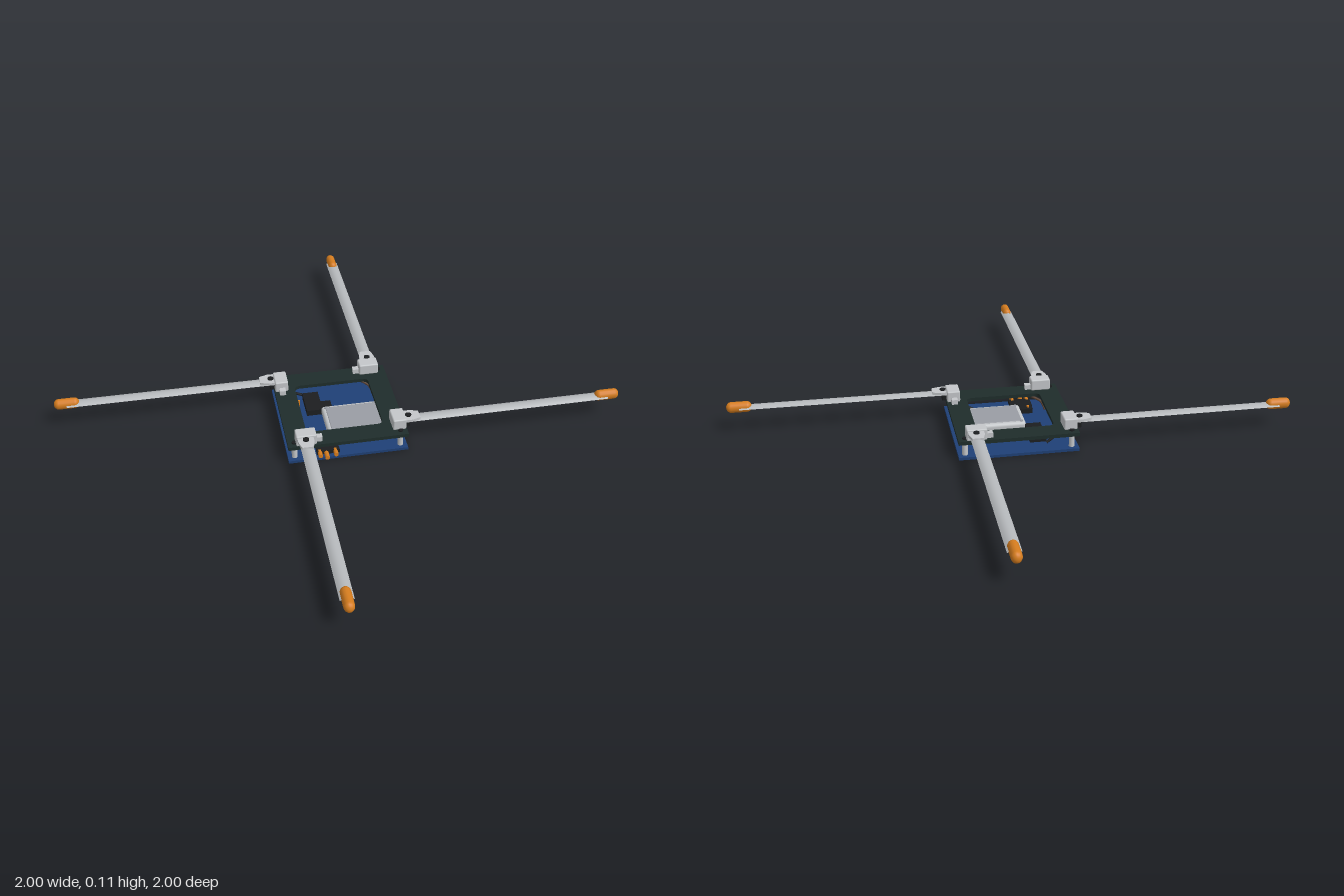
import * as THREE from 'three';
import { RoundedBoxGeometry } from 'three/addons/geometries/RoundedBoxGeometry.js';

const mat = (name, color, extra = {}) => Object.assign(new THREE.MeshStandardMaterial({ color, ...extra }), { name });

export function createModel() {
  const M = {
    board: mat('blue board', 0x1f4076),
    frame: mat('dark green frame', 0x1f2d2b),
    metal: mat('light metal', 0xc4c7ca),
    lid: mat('grey lid', 0x9a9da4),
    tape: mat('tape steel', 0xb4b7ba, { side: THREE.DoubleSide }),
    orange: mat('orange', 0xd67d1f),
    black: mat('black', 0x1c1e20),
    cable: mat('brown cable', 0x5a4030),
  };
  const root = new THREE.Group();
  root.name = 'antennaModule';

  const add = (parent, name, geo, material, x = 0, y = 0, z = 0) => {
    const m = new THREE.Mesh(geo, material);
    m.name = name;
    m.position.set(x, y, z);
    parent.add(m);
    return m;
  };
  // box given by its limits on each axis
  const box = (parent, name, material, [x0, x1], [y0, y1], [z0, z1]) =>
    add(parent, name, new THREE.BoxGeometry(x1 - x0, y1 - y0, z1 - z0), material,
      (x0 + x1) / 2, (y0 + y1) / 2, (z0 + z1) / 2);

  // lower board
  box(root, 'lowerBoard', M.board, [-0.212, 0.212], [0, 0.01], [-0.212, 0.212]);

  // upper frame with a rounded window
  const outline = new THREE.Shape();
  const s = 0.212;
  outline.moveTo(-s, -s).lineTo(s, -s).lineTo(s, s).lineTo(-s, s).closePath();
  const hole = new THREE.Path();
  const w = 0.137, r = 0.02;
  [[w - r, w - r, 0], [r - w, w - r, 1], [r - w, r - w, 2], [w - r, r - w, 3]].forEach(([cx, cy, q]) =>
    hole.absarc(cx, cy, r, q * Math.PI / 2, (q + 1) * Math.PI / 2, false));
  hole.closePath();
  outline.holes.push(hole);
  const frameGeo = new THREE.ExtrudeGeometry(outline, { depth: 0.013, bevelEnabled: false, curveSegments: 5 });
  frameGeo.rotateX(-Math.PI / 2);
  add(root, 'upperFrame', frameGeo, M.frame, 0, 0.057, 0);

  // corner standoffs
  for (const x of [-0.188, 0.188]) for (const z of [-0.188, 0.188]) {
    add(root, 'standoff', new THREE.CylinderGeometry(0.01, 0.01, 0.048, 12), M.metal, x, 0.034, z);
    add(root, 'standoffScrew', new THREE.CylinderGeometry(0.009, 0.009, 0.005, 12), M.black, x, 0.072, z);
  }

  // shielded electronics module with recessed-looking lid
  add(root, 'shieldCan', new RoundedBoxGeometry(0.212, 0.03, 0.16, 2, 0.012), M.metal, 0.05, 0.026, 0.04);
  add(root, 'shieldLid', new RoundedBoxGeometry(0.184, 0.006, 0.132, 1, 0.003), M.lid, 0.05, 0.04, 0.04);
  for (const x of [-0.04, 0.14]) for (const z of [-0.024, 0.104])
    add(root, 'lidScrew', new THREE.CylinderGeometry(0.006, 0.006, 0.003, 10), M.lid, x, 0.0415, z);

  // small parts on the board
  box(root, 'chip', M.black, [-0.108, -0.05], [0.01, 0.032], [-0.14, -0.03]);
  box(root, 'chip', M.black, [-0.05, -0.012], [0.01, 0.024], [-0.09, -0.05]);
  box(root, 'chip', M.black, [-0.105, -0.05], [0.01, 0.028], [0.095, 0.135]);
  box(root, 'portBody', M.black, [-0.11, -0.03], [0.01, 0.024], [0.135, 0.195]);
  for (const x of [-0.1, -0.078, -0.045]) {
    const p = add(root, 'portPin', new THREE.CylinderGeometry(0.008, 0.008, 0.03, 10), M.orange,
      x, 0.018, x === -0.078 ? 0.212 : 0.2);
    p.rotation.x = Math.PI / 2;
  }
  for (const [x, z] of [[-0.128, -0.095], [-0.09, 0.113]])
    add(root, 'solderPost', new THREE.CylinderGeometry(0.005, 0.005, 0.024, 8), M.orange, x, 0.022, z);

  // curved steel strip: arc section swept along x
  const tapeGeo = new THREE.PlaneGeometry(0.745, 0.045, 1, 8);
  tapeGeo.rotateX(-Math.PI / 2);
  const pos = tapeGeo.attributes.position;
  for (let i = 0; i < pos.count; i++) pos.setY(i, 0.0045 - 0.009 * (pos.getZ(i) / 0.0225) ** 2);
  tapeGeo.computeVertexNormals();

  // hinge neck outline, tapering outward
  const neck = new THREE.Shape();
  neck.moveTo(0.2, -0.028).lineTo(0.232, -0.028).lineTo(0.262, -0.019)
    .lineTo(0.262, 0.019).lineTo(0.232, 0.028).lineTo(0.2, 0.028).closePath();
  const neckGeo = new THREE.ExtrudeGeometry(neck, { depth: 0.01, bevelEnabled: false });
  neckGeo.rotateX(-Math.PI / 2);

  // four arms in a pinwheel
  const az = 0.152;
  for (let k = 0; k < 4; k++) {
    const arm = new THREE.Group();
    arm.name = 'antennaArm';
    arm.rotation.y = k * Math.PI / 2;
    root.add(arm);

    add(arm, 'hingeBlock', new RoundedBoxGeometry(0.048, 0.042, 0.072, 1, 0.005), M.metal, 0.186, 0.09, 0.148);
    box(arm, 'hingeTab', M.metal, [0.174, 0.196], [0.07, 0.088], [0.09, 0.114]);
    add(arm, 'hingeNeck', neckGeo, M.metal, 0, 0.095, az);
    box(arm, 'hingeFoot', M.black, [0.205, 0.226], [0.068, 0.095], [az - 0.016, az + 0.016]);
    add(arm, 'hingePin', new THREE.CylinderGeometry(0.011, 0.011, 0.006, 12), M.black, 0.222, 0.106, az);

    add(arm, 'tapeAntenna', tapeGeo, M.tape, 0.5825, 0.096, az);

    const tip = add(arm, 'tipCap', new THREE.CapsuleGeometry(0.0175, 0.055, 6, 14), M.orange, 0.955, 0.095, az);
    tip.rotation.z = Math.PI / 2;
    tip.scale.x = 1.14;

    // feed cable from the hinge down to the board
    const path = new THREE.CatmullRomCurve3([
      new THREE.Vector3(0.19, 0.072, 0.1), new THREE.Vector3(0.175, 0.054, 0.1),
      new THREE.Vector3(0.14, 0.034, 0.145), new THREE.Vector3(0.105, 0.014, 0.155)]);
    add(arm, 'feedCable', new THREE.TubeGeometry(path, 12, 0.005, 8), k % 2 ? M.cable : M.black);
  }
  return root;
}
